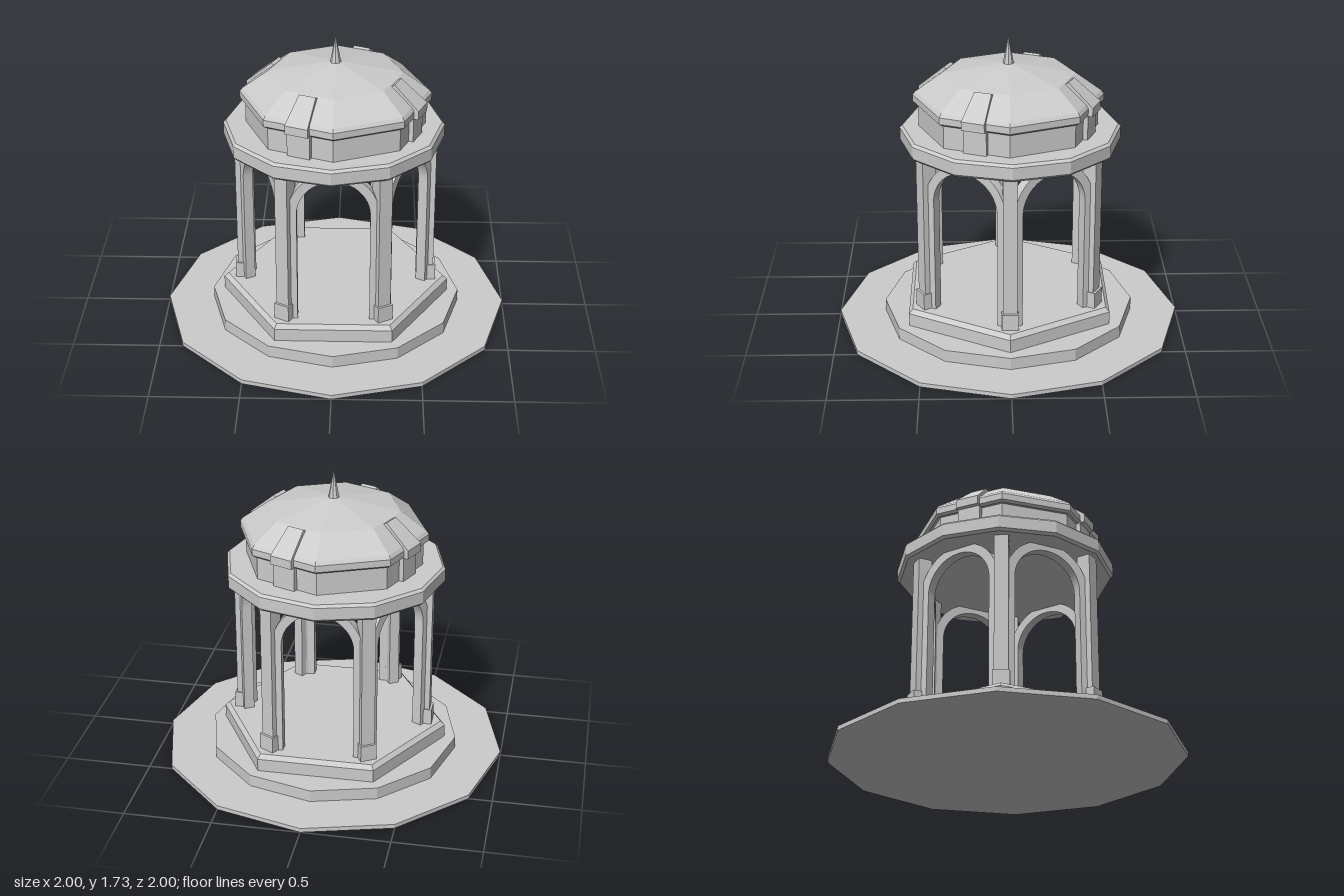
import * as THREE from 'three';

const material = new THREE.MeshStandardMaterial({ color: 0xcccccc, flatShading: true });

function add(parent, name, geometry, x = 0, y = 0, z = 0) {
  const mesh = new THREE.Mesh(geometry, material);
  mesh.name = name;
  mesh.position.set(x, y, z);
  parent.add(mesh);
  return mesh;
}

// Solid of revolution with few sides; profile of [radius, y] from bottom to top
function faceted(profile, sides) {
  const points = profile.map(([r, y]) => new THREE.Vector2(r, y));
  return new THREE.LatheGeometry(points, sides).toNonIndexed();
}

// Round arch with two straight legs, open in its spandrels
function archGeometry(inner, outer, bottom, spring, depth) {
  const s = new THREE.Shape();
  s.moveTo(outer, bottom);
  s.lineTo(outer, spring);
  s.absarc(0, spring, outer, 0, Math.PI, false);
  s.lineTo(-outer, bottom);
  s.lineTo(-inner, bottom);
  s.lineTo(-inner, spring);
  s.absarc(0, spring, inner, Math.PI, 0, true);
  s.lineTo(inner, bottom);
  s.closePath();
  const g = new THREE.ExtrudeGeometry(s, { depth, bevelEnabled: false, curveSegments: 16 });
  return g.translate(0, 0, -depth / 2);
}

// Sloped slab lying on a dome face, narrowing upward; it points along +x
function ribGeometry() {
  const s = new THREE.Shape([
    [0.46, 1.34], [0.525, 1.34], [0.525, 1.39], [0.375, 1.515], [0.34, 1.495],
  ].map(([r, y]) => new THREE.Vector2(r, y)));
  const g = new THREE.ExtrudeGeometry(s, { depth: 1, bevelEnabled: false });
  g.translate(0, 0, -0.5);
  const p = g.attributes.position;
  for (let i = 0; i < p.count; i++) {
    const t = Math.max(0, (p.getY(i) - 1.39) / 0.125);
    p.setZ(i, p.getZ(i) * (0.136 - 0.036 * t));
  }
  g.computeVertexNormals();
  return g;
}

export function createModel() {
  const model = new THREE.Group();
  model.name = 'pavilion';

  // Ground and steps
  add(model, 'groundSlab', new THREE.CylinderGeometry(1, 1, 0.025, 12), 0, 0.0125, 0);
  add(model, 'lowerStep', new THREE.CylinderGeometry(0.73, 0.73, 0.07, 12), 0, 0.06, 0);
  const floor = add(model, 'hexagonalFloor',
    faceted([[0, 0.095], [0.665, 0.095], [0.665, 0.17], [0.64, 0.195], [0, 0.195]], 6));
  floor.rotation.y = Math.PI / 6;

  // Six columns with plinths, and an arch between each pair
  const arch = archGeometry(0.203, 0.255, 0.195, 0.867, 0.06);
  const column = new THREE.BoxGeometry(0.08, 0.92, 0.08);
  const plinth = new THREE.BoxGeometry(0.095, 0.095, 0.095);
  for (let i = 0; i < 6; i++) {
    const bay = new THREE.Group();
    bay.name = 'bay' + (i + 1);
    bay.rotation.y = i * Math.PI / 3;
    add(bay, 'column', column, 0.537, 0.65, 0);
    add(bay, 'plinth', plinth, 0.543, 0.2425, 0);
    const side = new THREE.Group();
    side.name = 'archSide';
    side.rotation.y = Math.PI / 6;
    add(side, 'arch', arch, 0.463, 0, 0).rotation.y = Math.PI / 2;
    bay.add(side);
    model.add(bay);
  }

  // Ring beam with softened edges
  add(model, 'ringBeam', faceted([
    [0, 1.1], [0.615, 1.1], [0.63, 1.115], [0.63, 1.185], [0.615, 1.2], [0, 1.2],
  ], 12), -0.01, 0, -0.012);

  // Drum and dome
  add(model, 'drum', new THREE.CylinderGeometry(0.51, 0.51, 0.145, 8), 0, 1.2675, 0);
  add(model, 'dome', faceted([
    [0, 1.335], [0.525, 1.335], [0.54, 1.347], [0.54, 1.385],
    [0.525, 1.405], [0.38, 1.51], [0, 1.575],
  ], 8));

  // Four ribs on alternate dome faces, each above a drum pilaster
  const rib = ribGeometry();
  const pilaster = new THREE.BoxGeometry(0.06, 0.145, 0.136);
  for (let i = 0; i < 4; i++) {
    const buttress = new THREE.Group();
    buttress.name = 'buttress' + (i + 1);
    buttress.rotation.y = -Math.PI / 8 + i * Math.PI / 2;
    add(buttress, 'domeRib', rib);
    add(buttress, 'drumPilaster', pilaster, 0.468, 1.2675, 0);
    model.add(buttress);
  }

  // Spire
  add(model, 'spire', new THREE.ConeGeometry(0.033, 0.17, 8), 0, 1.645, 0);

  return model;
}
